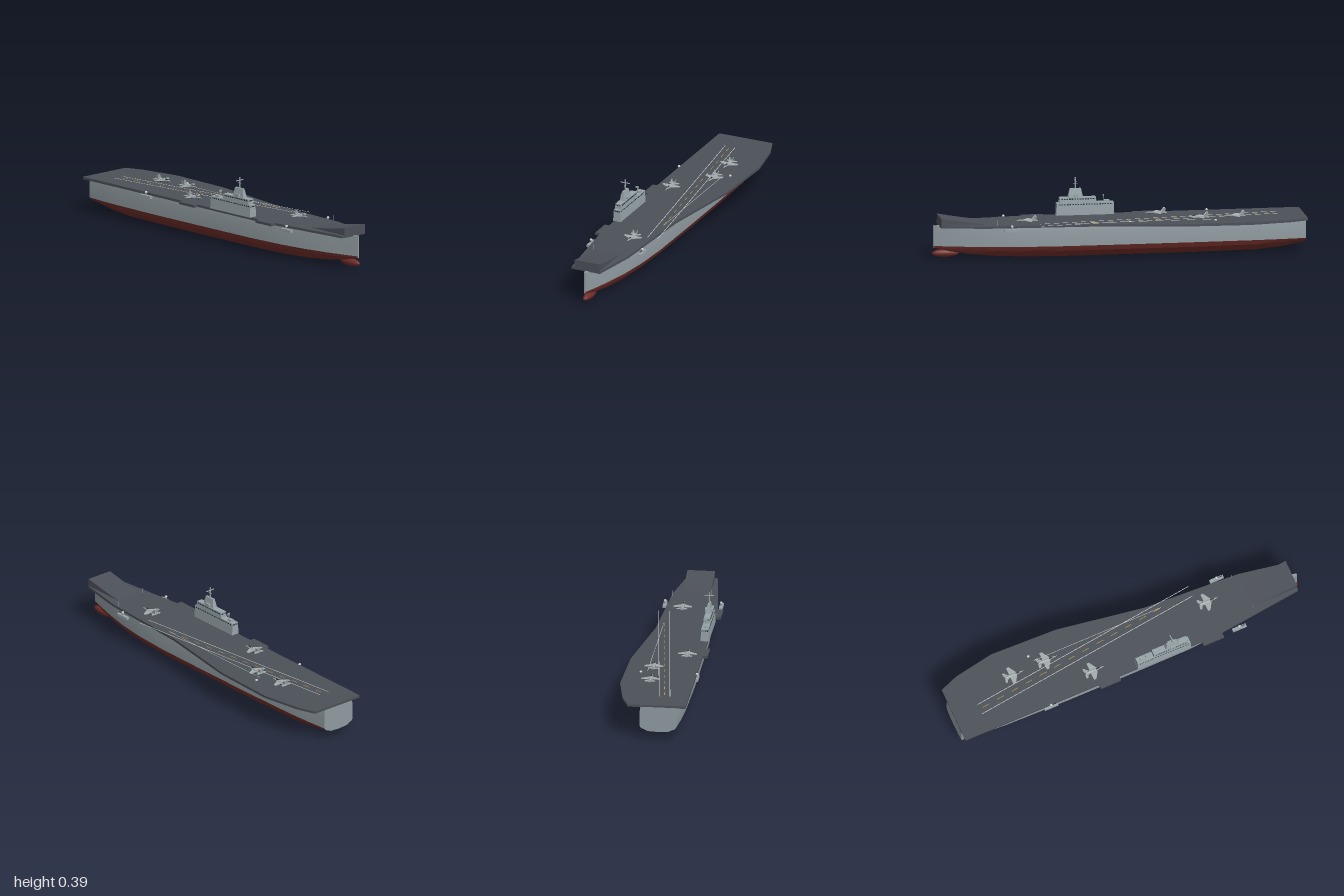
import * as THREE from 'three';
import { toCreasedNormals } from 'three/addons/utils/BufferGeometryUtils.js';

const mat = (color, side = THREE.FrontSide) => new THREE.MeshStandardMaterial({ color, side });
const M = {
  hull: mat(0x8f9a9f, THREE.DoubleSide), keel: mat(0x6e2d29, THREE.DoubleSide), deck: mat(0x4c5058),
  island: mat(0x98a4a9), window: mat(0x22383f), jet: mat(0xa3acae, THREE.DoubleSide),
  white: mat(0xc9cdcd), yellow: mat(0xb89b45), dark: mat(0x2c3135),
};
const CZ = 0.033; // hull centreline
const DECK = 0.19; // flight deck height

function add(parent, name, geo, material, x = 0, y = 0, z = 0) {
  const m = new THREE.Mesh(geo, material);
  m.name = name;
  m.position.set(x, y, z);
  parent.add(m);
  return m;
}
const box = (p, name, m, w, h, d, x, y, z) => add(p, name, new THREE.BoxGeometry(w, h, d), m, x, y, z);
const rod = (p, name, m, r, h, x, y, z) => add(p, name, new THREE.CylinderGeometry(r, r, h, 10), m, x, y, z);

// Skin through open cross-sections; each section is a list of [x, y, z]
function loft(sections) {
  const n = sections[0].length, index = [];
  for (let i = 0; i < sections.length - 1; i++)
    for (let j = 0; j < n - 1; j++) {
      const a = i * n + j, b = a + n;
      index.push(a, a + 1, b, b, a + 1, b + 1);
    }
  const g = new THREE.BufferGeometry();
  g.setAttribute('position', new THREE.Float32BufferAttribute(sections.flat(2), 3));
  g.setIndex(index);
  return toCreasedNormals(g, 0.45);
}

// Block that narrows towards the top
function taperedBox(w, h, d, kx, kz) {
  const g = new THREE.BoxGeometry(w, h, d), p = g.attributes.position;
  for (let i = 0; i < p.count; i++)
    if (p.getY(i) > 0) { p.setX(i, p.getX(i) * kx); p.setZ(i, p.getZ(i) * kz); }
  g.computeVertexNormals();
  return g;
}

function flatShape(points, depth) { // points are [x, z], extruded upwards
  const s = new THREE.Shape(points.map(([x, z]) => new THREE.Vector2(x, -z)));
  return new THREE.ExtrudeGeometry(s, { depth, bevelEnabled: false }).rotateX(-Math.PI / 2);
}

function buildHull() {
  const hull = new THREE.Group();
  hull.name = 'hull';
  // x, half width, keel height
  const stations = [[-1, 0.098, 0.04], [-0.88, 0.109, 0.018], [-0.74, 0.117, 0.004], [-0.4, 0.123, 0],
    [0, 0.123, 0], [0.3, 0.121, 0], [0.5, 0.109, 0.002], [0.66, 0.088, 0.009], [0.8, 0.058, 0.022],
    [0.9, 0.031, 0.038], [0.985, 0.004, 0.06]];
  const side = (x, w, s) => [[0.179, 0.95], [0.15, 1], [0.07, 1]].map(([y, k]) => [x, y, CZ + s * w * k]);
  const bottom = (x, w, b) => [[1, 1], [0.62, 0.91], [0.1, 0.55], [0, 0], [0.1, -0.55], [0.62, -0.91], [1, -1]]
    .map(([t, k]) => [x, b + (0.07 - b) * t, CZ + w * k]);
  const strip = (name, m, f) => add(hull, name, loft(stations.map(f)), m);
  strip('leftHullSide', M.hull, ([x, w]) => side(x, w, 1));
  strip('rightHullSide', M.hull, ([x, w]) => side(x, w, -1).reverse());
  strip('hullTop', M.hull, ([x, w]) => [[x, 0.179, CZ - w * 0.95], [x, 0.179, CZ + w * 0.95]]);
  strip('underwaterHull', M.keel, ([x, w, b]) => bottom(x, w, b));
  // Flat transom and narrow stem
  const cap = ([x, w, b]) => {
    const ring = [...side(x, w, 1), ...bottom(x, w, b).slice(1, -1), ...side(x, w, -1).reverse()];
    const s = new THREE.Shape(ring.map(([, y, z]) => new THREE.Vector2(z, y)));
    return new THREE.ShapeGeometry(s).rotateY(-Math.PI / 2);
  };
  add(hull, 'transom', cap(stations[0]), M.hull, -1);
  box(hull, 'stem', M.hull, 0.006, 0.12, 0.008, 0.983, 0.122, CZ);
  add(hull, 'bulbousBow', new THREE.SphereGeometry(1, 24, 16).scale(0.073, 0.021, 0.021), M.keel, 0.921, 0.03, CZ);
  return hull;
}

function buildDeck() {
  const deck = new THREE.Group();
  deck.name = 'flightDeck';
  const outline = [[-1, -0.13], [-0.9, -0.168], [-0.68, -0.207], [-0.31, -0.195], [0.17, -0.118], [0.7, -0.09],
    [0.955, -0.044], [0.955, 0.123], [0.46, 0.18], [-1, 0.18]];
  add(deck, 'deckPlate', flatShape(outline, 0.013), M.deck, 0, DECK - 0.013);
  for (const x of [-0.167, 0.43]) box(deck, 'deckEdgeLift', M.deck, 0.118, 0.014, 0.03, x, DECK - 0.007, 0.19);
  // Ski jump
  const s = new THREE.Shape();
  s.moveTo(0.7, 0.178);
  s.lineTo(0.955, 0.176);
  s.lineTo(0.955, 0.23);
  s.quadraticCurveTo(0.82, 0.203, 0.7, DECK);
  add(deck, 'skiJump', new THREE.ExtrudeGeometry(s, { depth: 0.148, bevelEnabled: false }), M.deck, 0, 0, -0.041);
  // Angled runway lines
  const angle = Math.atan2(0.155, 1.29);
  const line = (name, m, len, x, z) => { box(deck, name, m, len, 0.001, 0.003, x, DECK + 0.0006, z).rotation.y = angle; };
  line('runwayEdge', M.white, 1.3, -0.215, -0.055);
  line('runwayEdge', M.white, 1.3, -0.215, 0.003);
  for (let i = 0; i < 13; i++) {
    const x = -0.82 + i * 0.087;
    line('runwayDash', M.yellow, 0.04, x, 0.05 - (x + 0.85) * 0.12);
  }
  box(deck, 'catapultLine', M.white, 0.74, 0.001, 0.002, -0.12, DECK + 0.0006, -0.083);
  return deck;
}

function buildIsland() {
  const g = new THREE.Group();
  g.name = 'island';
  g.position.set(0, DECK, 0.164);
  add(g, 'islandBase', taperedBox(0.31, 0.067, 0.045, 0.985, 0.84), M.island, 0.152, 0.0325);
  add(g, 'bridge', taperedBox(0.2, 0.029, 0.037, 0.98, 0.9), M.island, 0.192, 0.08);
  box(g, 'bridgeRoof', M.island, 0.206, 0.003, 0.038, 0.192, 0.065, 0);
  add(g, 'tower', taperedBox(0.08, 0.048, 0.028, 0.75, 0.4), M.island, 0.203, 0.118);
  for (const s of [-1, 1]) {
    box(g, 'radarPanel', M.island, 0.03, 0.015, 0.012, 0.203, 0.103, s * 0.016);
    // Window rows
    for (let i = 0; i < 20; i++) box(g, 'baseWindow', M.window, 0.008, 0.006, 0.002, 0.015 + i * 0.0145, 0.057, s * 0.019);
    for (let i = 0; i < 13; i++) box(g, 'bridgeWindow', M.window, 0.009, 0.006, 0.002, 0.108 + i * 0.014, 0.086, s * 0.0175);
  }
  for (let i = -1.5; i < 2; i++) {
    for (const x of [-0.0005, 0.305]) box(g, 'endWindow', M.window, 0.003, 0.006, 0.006, x, 0.057, i * 0.009);
    for (const x of [0.094, 0.29]) box(g, 'endWindow', M.window, 0.003, 0.006, 0.005, x, 0.086, i * 0.008);
  }
  rod(g, 'mast', M.island, 0.003, 0.065, 0.203, 0.168, 0);
  box(g, 'mastYard', M.island, 0.005, 0.004, 0.052, 0.203, 0.183, 0);
  box(g, 'mastCrossbar', M.island, 0.024, 0.003, 0.003, 0.203, 0.168, 0);
  // Small radar on the low roof
  rod(g, 'radarPost', M.island, 0.002, 0.035, 0.05, 0.08, 0);
  box(g, 'radarDish', M.island, 0.004, 0.01, 0.018, 0.052, 0.099, 0);
  box(g, 'roofHouse', M.island, 0.03, 0.01, 0.02, 0.035, 0.07, 0);
  return g;
}

// Parked jet, nose towards +x
function buildJet(x, z) {
  const g = new THREE.Group();
  g.name = 'jet';
  g.position.set(x, DECK + 0.012, z);
  add(g, 'fuselage', new THREE.CylinderGeometry(0.006, 0.0075, 0.075, 12).rotateZ(-Math.PI / 2), M.jet, -0.015);
  add(g, 'nose', new THREE.ConeGeometry(0.006, 0.035, 12).rotateZ(-Math.PI / 2), M.jet, 0.04);
  add(g, 'canopy', new THREE.SphereGeometry(1, 12, 8).scale(0.012, 0.005, 0.004), M.dark, 0.018, 0.005);
  for (const s of [-1, 1]) {
    const flat = (name, pts) => add(g, name, flatShape(pts.map(([a, b]) => [a, b * s]), 0.002), M.jet, 0, -0.001);
    flat('wing', [[0.016, 0.004], [-0.012, 0.05], [-0.026, 0.05], [-0.026, 0.004]]);
    flat('tailplane', [[-0.036, 0.004], [-0.048, 0.028], [-0.06, 0.028], [-0.056, 0.004]]);
    box(g, 'engine', M.jet, 0.055, 0.008, 0.007, -0.025, -0.001, s * 0.006);
    const fin = new THREE.Shape([[-0.03, 0], [-0.045, 0.02], [-0.056, 0.02], [-0.054, 0]].map((p) => new THREE.Vector2(...p)));
    const f = add(g, 'fin', new THREE.ExtrudeGeometry(fin, { depth: 0.0015, bevelEnabled: false }), M.jet, 0, 0.003, s * 0.007);
    f.rotation.x = s * 0.25;
    rod(g, 'mainGear', M.dark, 0.0018, 0.012, -0.018, -0.006, s * 0.009);
  }
  rod(g, 'noseGear', M.dark, 0.0015, 0.012, 0.028, -0.006, 0);
  return g;
}

// Side gun platform with a domed mount
function buildGun(x, z) {
  const g = new THREE.Group();
  g.name = 'gunPlatform';
  g.position.set(x, 0.168, z);
  box(g, 'platform', M.island, 0.078, 0.014, 0.018, 0, 0, 0);
  rod(g, 'mount', M.island, 0.006, 0.018, 0, 0.012, 0);
  add(g, 'dome', new THREE.SphereGeometry(0.0075, 14, 10), M.white, 0, 0.022);
  add(g, 'barrel', new THREE.CylinderGeometry(0.002, 0.002, 0.03, 8).rotateZ(Math.PI / 2), M.dark, 0.016, 0.017);
  return g;
}

export function createModel() {
  const ship = new THREE.Group();
  ship.name = 'aircraftCarrier';
  ship.add(buildHull(), buildDeck(), buildIsland());
  for (const [x, z] of [[-0.615, -0.05], [-0.42, -0.055], [-0.215, 0.1], [0.495, -0.01]]) ship.add(buildJet(x, z));
  for (const [x, z] of [[-0.505, 0.183], [0.587, 0.183], [0.587, -0.117], [-0.505, -0.117]]) ship.add(buildGun(x, z));
  // Deck-edge whip aerials
  for (const [x, z] of [[0.7, 0.118], [0.66, -0.088]]) rod(ship, 'aerial', M.island, 0.001, 0.03, x, DECK + 0.015, z);
  return ship;
}
